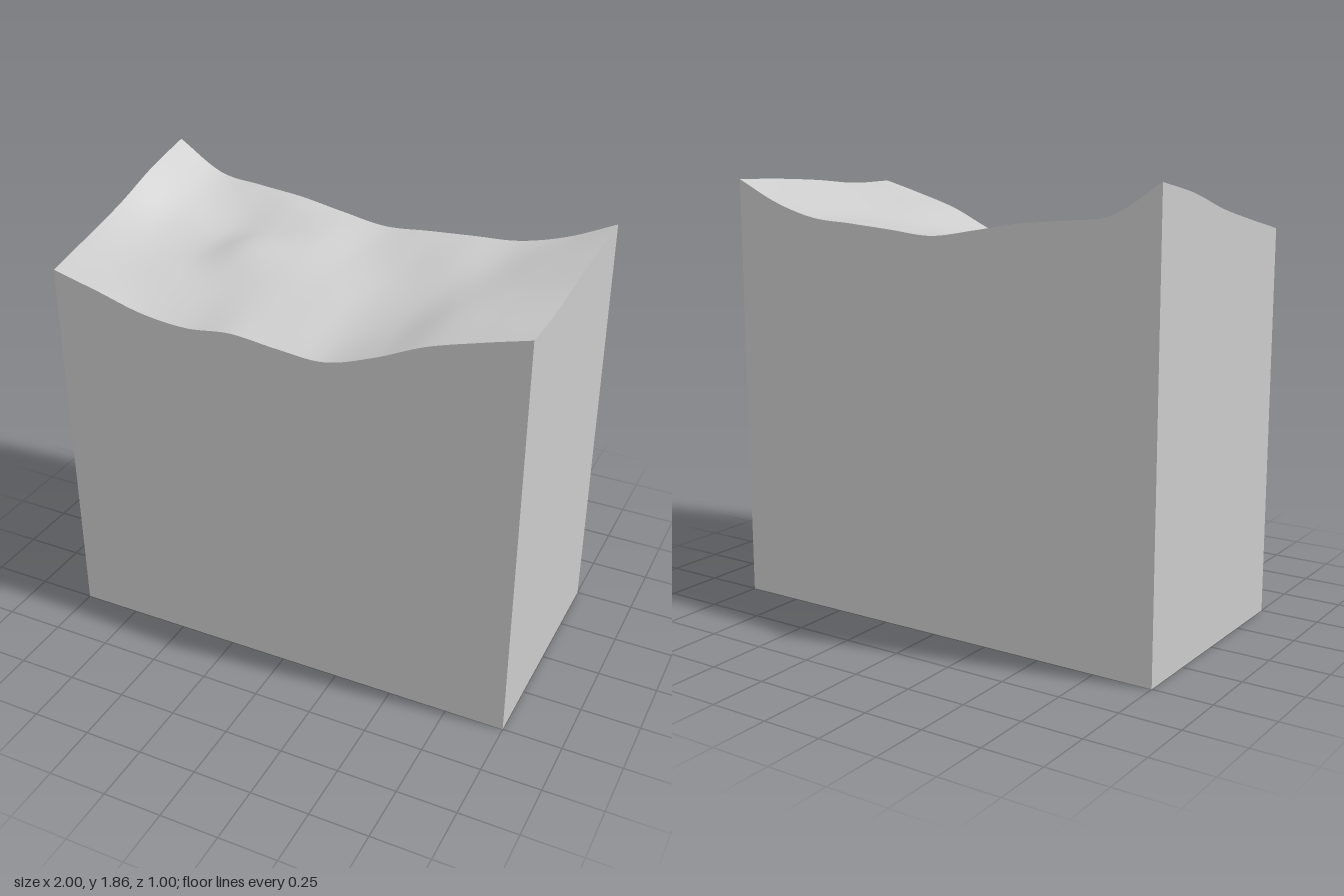
import * as THREE from 'three';

// Control heights: rows run back to front (z -0.5..0.5), columns run x -1..1
const HEIGHTS = [
  [1.86, 1.737, 1.71, 1.69, 1.655, 1.625, 1.64, 1.655, 1.67, 1.725, 1.815],
  [1.81, 1.69, 1.63, 1.64, 1.64, 1.60, 1.605, 1.635, 1.66, 1.73, 1.806],
  [1.738, 1.64, 1.61, 1.65, 1.63, 1.595, 1.575, 1.60, 1.655, 1.72, 1.79],
  [1.683, 1.62, 1.59, 1.575, 1.575, 1.555, 1.535, 1.575, 1.66, 1.715, 1.767],
  [1.632, 1.58, 1.525, 1.505, 1.525, 1.505, 1.495, 1.56, 1.65, 1.712, 1.767],
];

// Smooth curve through evenly spaced values, t in 0..1
function spline(values, t) {
  const last = values.length - 1;
  const i = Math.min(Math.floor(t * last), last - 1);
  const f = t * last - i;
  const b = values[i], c = values[i + 1];
  const a = i > 0 ? values[i - 1] : 2 * b - c;
  const d = i + 2 <= last ? values[i + 2] : 2 * c - b;
  return b + 0.5 * f * (c - a + f * (2 * a - 5 * b + 4 * c - d + f * (3 * (b - c) + d - a)));
}

function groundHeight(x, z) {
  const u = THREE.MathUtils.clamp((x + 1) / 2, 0, 1);
  const v = THREE.MathUtils.clamp(z + 0.5, 0, 1);
  return spline(HEIGHTS.map((row) => spline(row, u)), v);
}

export function createModel() {
  const group = new THREE.Group();
  group.name = 'terrainBlock';
  const material = new THREE.MeshStandardMaterial({ color: 0xcccccc });

  const add = (name, geometry) => {
    const mesh = new THREE.Mesh(geometry, material);
    mesh.name = name;
    group.add(mesh);
  };

  // Rolling ground on top
  const ground = new THREE.PlaneGeometry(2, 1, 80, 40).rotateX(-Math.PI / 2);
  const gp = ground.attributes.position;
  for (let i = 0; i < gp.count; i++) gp.setY(i, groundHeight(gp.getX(i), gp.getZ(i)));
  ground.computeVertexNormals();
  add('ground', ground);

  // Flat walls whose upper edge follows the ground
  const addWall = (name, width, distance, angle, segments) => {
    const wall = new THREE.PlaneGeometry(width, 1, segments, 1)
      .translate(0, 0, distance).rotateY(angle);
    const p = wall.attributes.position;
    for (let i = 0; i < p.count; i++) {
      p.setY(i, p.getY(i) > 0 ? groundHeight(p.getX(i), p.getZ(i)) : 0);
    }
    add(name, wall);
  };
  addWall('frontWall', 2, 0.5, 0, 80);
  addWall('backWall', 2, 0.5, Math.PI, 80);
  addWall('leftWall', 1, 1, Math.PI / 2, 40);
  addWall('rightWall', 1, 1, -Math.PI / 2, 40);

  // Underside
  add('base', new THREE.PlaneGeometry(2, 1).rotateX(Math.PI / 2));

  return group;
}
